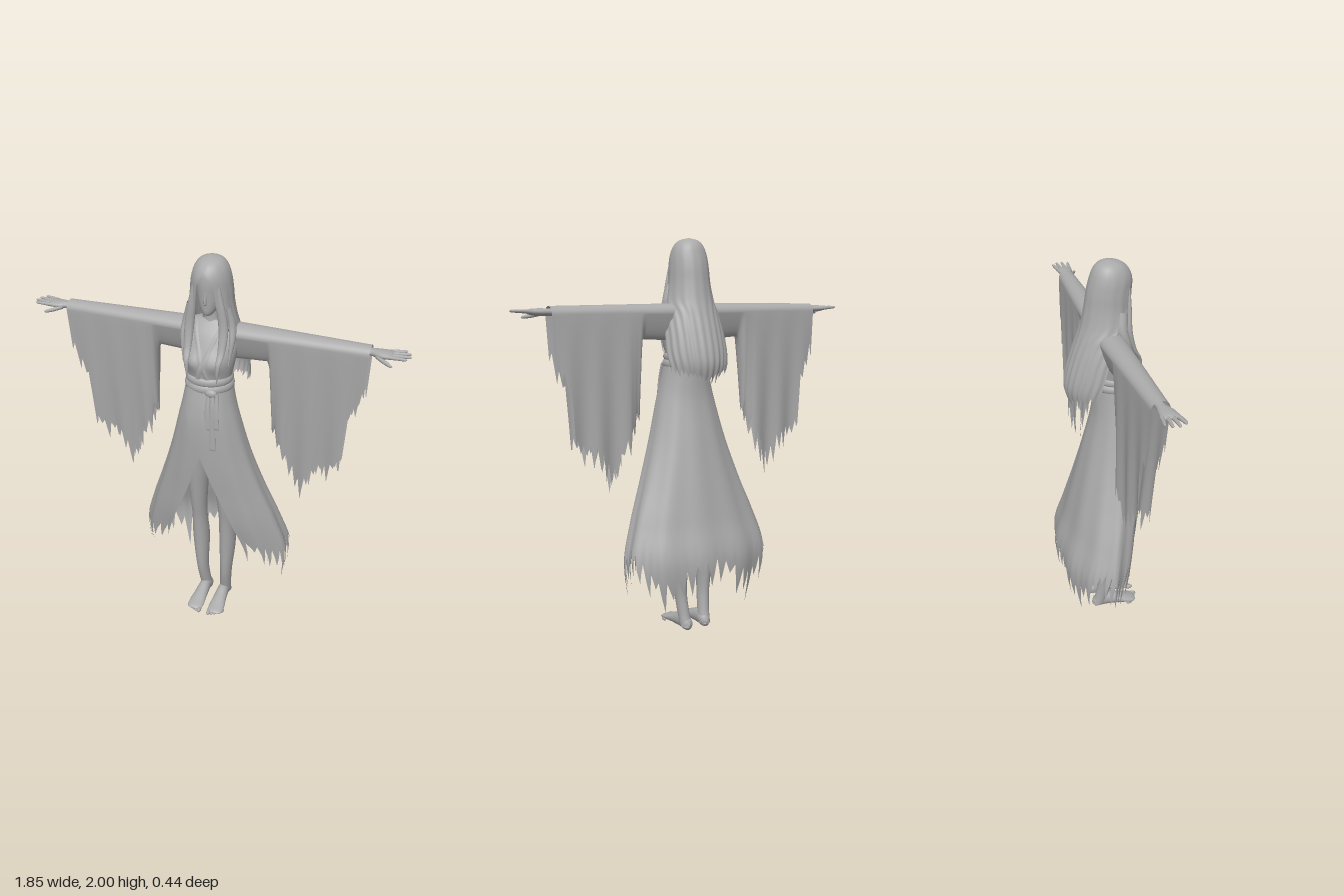
import * as THREE from 'three';
import { mergeVertices } from 'three/addons/utils/BufferGeometryUtils.js';

const { lerp, clamp } = THREE.MathUtils;
const TAU = Math.PI * 2;
const hash = (n) => { const s = Math.sin(n * 127.1 + 11.7) * 43758.545; return s - Math.floor(s); };
// ragged spikes, four columns wide, 0..1
const rag = (i, seed) => Math.abs((i % 4) / 2 - 1) * (0.25 + 0.75 * hash(Math.floor((i + 2) / 4) + seed * 31));

// smooth (or linear) lookup in a table of [key, ...values]
function at(table, key, linear = false) {
  const dir = Math.sign(table[1][0] - table[0][0]);
  let i = 0;
  while (i < table.length - 2 && (key - table[i + 1][0]) * dir > 0) i++;
  const a = table[i], b = table[i + 1], h = b[0] - a[0];
  const t = clamp((key - a[0]) / h, 0, 1);
  return a.slice(1).map((p, j) => {
    const c = j + 1, q = b[c];
    if (linear) return lerp(p, q, t);
    const slope = (k) => {
      const l = table[Math.max(k - 1, 0)], r = table[Math.min(k + 1, table.length - 1)];
      return (r[c] - l[c]) / (r[0] - l[0]);
    };
    const t2 = t * t, t3 = t2 * t;
    return (2 * t3 - 3 * t2 + 1) * p + (t3 - 2 * t2 + t) * h * slope(i) + (3 * t2 - 2 * t3) * q + (t3 - t2) * h * slope(i + 1);
  });
}

// surface from a point rule on an nu x nv grid
function grid(nu, nv, rule) {
  const pos = [], idx = [];
  for (let j = 0; j <= nv; j++) for (let i = 0; i <= nu; i++) pos.push(...rule(i / nu, j / nv, i));
  for (let j = 0; j < nv; j++) for (let i = 0; i < nu; i++) {
    const a = j * (nu + 1) + i, b = a + nu + 1;
    idx.push(a, b, a + 1, b, b + 1, a + 1);
  }
  const g = new THREE.BufferGeometry();
  g.setAttribute('position', new THREE.Float32BufferAttribute(pos, 3));
  g.setIndex(idx);
  const m = mergeVertices(g, 1e-5);
  m.computeVertexNormals();
  return m;
}

// elliptical rings along an axis; rows are [along, centre1, centre2, radius1, radius2]
function loft(axis, rows, n = 16, sub = 4) {
  const segs = rows.length - 1;
  return grid(n, segs * sub, (u, v) => {
    const s = Math.min(Math.floor(v * segs + 1e-9), segs - 1);
    const k = lerp(rows[s][0], rows[s + 1][0], v * segs - s);
    const [c1, c2, r1, r2] = at(rows, k);
    const a = (u === 1 ? 0 : u) * TAU;
    const p = c1 + Math.max(r1, 0) * Math.sin(a), q = c2 + Math.max(r2, 0) * Math.cos(a);
    return axis === 'y' ? [p, k, q] : axis === 'x' ? [k, p, q] : [p, q, k];
  });
}

export function createModel() {
  const root = new THREE.Group();
  const grey = new THREE.MeshStandardMaterial({ color: 0xaaaaaa, side: THREE.DoubleSide });
  grey.name = 'grey';
  const add = (name, geo, parent = root) => {
    const m = new THREE.Mesh(geo, grey);
    m.name = name;
    parent.add(m);
    return m;
  };

  // torso with bust
  const torso = [[1.3, 0, 0.085, 0.11, 0.1], [1.4, 0, 0.08, 0.104, 0.095], [1.5, 0, 0.08, 0.122, 0.1], [1.58, 0, 0.065, 0.135, 0.09],
    [1.64, 0, 0.05, 0.135, 0.075], [1.685, 0, 0.04, 0.1, 0.05], [1.7, 0, 0.04, 0.05, 0.04]];
  const bust = (x, y) => 0.024 * Math.exp(-(((Math.abs(x) - 0.055) / 0.04) ** 2) - ((y - 1.52) / 0.045) ** 2);
  const torsoZ = (x, y) => {
    const [, cz, rx, rz] = at(torso, y);
    return cz + rz * Math.sqrt(Math.max(0, 1 - (x / rx) ** 2)) + bust(x, y);
  };
  const body = loft('y', torso, 40, 6), bp = body.attributes.position;
  for (let i = 0; i < bp.count; i++) if (bp.getZ(i) > 0.09) bp.setZ(i, bp.getZ(i) + bust(bp.getX(i), bp.getY(i)));
  body.computeVertexNormals();
  add('torso', body);
  add('neck', loft('y', [[1.66, 0, 0.045, 0.045, 0.045], [1.72, 0, 0.045, 0.036, 0.038], [1.8, 0, 0.05, 0.036, 0.04]]));

  // crossed collar
  for (const s of [1, -1]) add('collar', grid(3, 14, (u, v) => {
    const x = s * (lerp(0.06, -0.035, v) + 0.024 * u), y = lerp(1.69, 1.44, v ** 1.1);
    return [x, y, torsoZ(x, y) + 0.005 + 0.004 * (s > 0) + 0.004 * Math.sin(Math.PI * u)];
  }));

  // head and face
  add('head', loft('y', [[1.728, 0, 0.108, 0.001, 0.001], [1.738, 0, 0.1, 0.02, 0.026], [1.77, 0, 0.078, 0.044, 0.056],
    [1.83, 0, 0.06, 0.063, 0.078], [1.9, 0, 0.055, 0.068, 0.085], [1.95, 0, 0.05, 0.055, 0.07], [1.975, 0, 0.05, 0.001, 0.001]], 28));
  add('nose', loft('y', [[1.785, 0, 0.132, 0.001, 0.001], [1.797, 0, 0.135, 0.009, 0.012], [1.86, 0, 0.133, 0.004, 0.006]], 10));

  // long hair, open at the face and falling behind the shoulders
  const hair = [[2, 0.05, 0.001, 0.001, 0.001, 0], [1.99, 0.05, 0.042, 0.047, 0.042, 0], [1.965, 0.05, 0.07, 0.084, 0.07, 0.03],
    [1.92, 0.05, 0.088, 0.107, 0.089, 0.2], [1.86, 0.05, 0.097, 0.108, 0.104, 0.48], [1.78, 0.05, 0.104, 0.103, 0.116, 0.55],
    [1.7, 0.05, 0.12, 0.085, 0.132, 0.75], [1.64, 0.045, 0.14, 0.06, 0.145, 1.4], [1.55, 0.025, 0.158, 0.05, 0.155, 1.65],
    [1.45, 0.01, 0.168, 0.04, 0.168, 1.75], [1.38, 0, 0.165, 0.04, 0.165, 1.85], [1.29, -0.01, 0.145, 0.04, 0.13, 1.95]];
  add('hair', grid(72, 60, (u, v, i) => {
    const side = Math.abs(2 * u - 1);
    const y = 2 - (v ** 1.35) * (0.61 + 0.06 * (1 - side)) - 0.05 * v ** 8 * rag(i, 3);
    const [cz, rx, rf, rb, open] = at(hair, y);
    const a = lerp(open, TAU - open, u), c = Math.cos(a);
    const k = 1 + 0.02 * v * Math.sin(u * 75);
    return [k * rx * Math.sin(a), y, cz + k * c * (c > 0 ? rf : rb)];
  }));

  // wrap skirt: two front edges that cross at the waist and part below
  const skirt = [[1.42, 0.08, 0.108, 0.1, 0.1], [1.3, 0.085, 0.13, 0.122, 0.11], [1.2, 0.085, 0.155, 0.133, 0.12], [1, 0.07, 0.208, 0.142, 0.15],
    [0.8, 0.04, 0.275, 0.155, 0.165], [0.6, 0, 0.348, 0.175, 0.17], [0.4, -0.03, 0.4, 0.165, 0.19], [0.1, -0.03, 0.36, 0.14, 0.15]];
  const leftEdge = [[1.42, -0.75], [1.29, -0.65], [1.05, -0.05], [0.66, 0.4], [0.12, 0.68]];
  const rightEdge = [[1.42, 0.1], [1.05, 0.02], [0.95, -0.17], [0.42, -0.64], [0.12, -0.75]];
  const hem = [[0, 0.5], [0.12, 0.42], [0.25, 0.48], [0.36, 0.33], [0.5, 0.43], [0.64, 0.33], [0.75, 0.48], [0.88, 0.42], [1, 0.5]];
  add('skirt', grid(144, 44, (u, v, i) => {
    const y = lerp(1.42, at(hem, u)[0], v) - 0.2 * v ** 5 * rag(i, 8);
    const [cz, rx, rf, rb] = at(skirt, y);
    const a = lerp(at(leftEdge, y)[0], TAU + at(rightEdge, y)[0], u), c = Math.cos(a);
    const k = 1 + 0.025 * v * Math.sin(a * 11) + 0.05 * Math.max(0, 0.12 - u) / 0.12 * (1 - v);
    return [k * rx * Math.sin(a), y, cz + k * c * (c > 0 ? rf : rb)];
  }));

  // sash, knot and hanging tails
  for (const [y, h, r] of [[1.35, 0.022, 0.004], [1.385, 0.024, 0.009], [1.42, 0.02, 0.005]])
    add('sash', loft('y', [[y - h, 0, 0.082, 0.107, 0.1], [y - h / 2, 0, 0.082, 0.11 + r, 0.102 + r],
      [y + h / 2, 0, 0.082, 0.108 + r, 0.102 + r], [y + h, 0, 0.082, 0.103, 0.097]], 36, 2));
  const knot = add('sashKnot', new THREE.SphereGeometry(1, 16, 12));
  knot.scale.set(0.03, 0.022, 0.018);
  knot.position.set(0.045, 1.375, 0.185);
  for (const [x0, x1, end] of [[0.035, 0.035, 1.19], [0.055, 0.062, 1.08], [0.075, 0.08, 1.2]])
    add('sashTail', loft('y', [[1.38, x0, 0.19, 0.008, 0.006], [1.3, lerp(x0, x1, 0.5), 0.207, 0.013, 0.005],
      [end + 0.01, x1, 0.214, 0.016, 0.004], [end, x1, 0.214, 0.015, 0.001]], 10));

  // parts that repeat on both sides
  const sleeveHem = [[0.08, 1.5], [0.272, 1.512], [0.285, 1.47], [0.296, 1.21], [0.33, 1.13], [0.41, 0.97], [0.455, 0.88], [0.5, 0.98],
    [0.56, 1.02], [0.6, 1.02], [0.645, 1.06], [0.665, 1.3], [0.7, 1.38], [0.745, 1.5]];
  const sleeve = grid(84, 64, (u, v, i) => {
    const x = lerp(0.08, 0.745, u), front = v < 0.5;
    const ya = 1.638, ry = lerp(0.045, 0.038, u), hz = lerp(0.064, 0.042, u), zc = lerp(0.035, 0.042, u);
    const w = front ? v : 1 - v;
    if (w > 0.375) { // over the arm
      const a = (w - 0.375) / 0.125 * Math.PI / 2;
      return [x, ya + ry * Math.sin(a), zc + (front ? 1 : -1) * hz * Math.cos(a)];
    }
    const s = w / 0.375;
    const open = clamp((x - 0.29) / 0.07, 0, 1);
    const edge = at(sleeveHem, x, true)[0] - (x > 0.3 ? 0.13 * rag(i, front ? 5 : 9) : 0);
    const y = lerp(edge, ya, s), d = (ya - y) / 0.85;
    const half = hz * (1 - 0.7 * d ** 1.3) * lerp(Math.sqrt(s), 1, open);
    const fold = 0.012 * Math.sin(x * 42 + (front ? 0 : 1.5)) * d * open;
    const drift = x > 0.64 ? -0.03 * d * (x - 0.64) / 0.1 : 0;
    return [x + drift, y, zc - 0.03 * d + (front ? 1 : -1) * half + fold];
  });
  const arm = loft('x', [[0.1, 1.635, 0.035, 0.035, 0.04], [0.4, 1.64, 0.04, 0.033, 0.036], [0.6, 1.645, 0.042, 0.028, 0.03],
    [0.74, 1.648, 0.043, 0.017, 0.022], [0.79, 1.648, 0.05, 0.018, 0.036], [0.835, 1.65, 0.05, 0.013, 0.04], [0.85, 1.65, 0.05, 0.004, 0.034]]);
  const leg = loft('y', [[0.02, 0.055, -0.015, 0.03, 0.034], [0.09, 0.06, 0.005, 0.03, 0.035], [0.2, 0.068, 0.022, 0.031, 0.042],
    [0.4, 0.075, 0.02, 0.043, 0.056], [0.55, 0.075, 0.04, 0.039, 0.048], [0.65, 0.074, 0.052, 0.042, 0.052], [0.9, 0.072, 0.07, 0.06, 0.07],
    [1.15, 0.068, 0.08, 0.066, 0.085]], 22);
  const foot = loft('z', [[-0.05, 0.053, 0.03, 0.002, 0.004], [-0.035, 0.053, 0.032, 0.025, 0.03], [0.02, 0.054, 0.045, 0.03, 0.043],
    [0.09, 0.056, 0.034, 0.036, 0.03], [0.15, 0.058, 0.022, 0.043, 0.018], [0.185, 0.058, 0.016, 0.038, 0.011], [0.195, 0.058, 0.015, 0.02, 0.004]], 20);

  const half = new THREE.Group();
  half.name = 'leftSide';
  add('sleeve', sleeve, half);
  add('arm', arm, half);
  [[0.017, 0.9, 0.005], [0.038, 0.92, 0.05 - 0.02], [0.06, 0.925, 0.06], [0.08, 0.91, 0.09]].forEach(([z, tip, tz]) =>
    add('finger', loft('x', [[0.825, 1.65, z, 0.01, 0.011], [lerp(0.825, tip, 0.5), 1.653, lerp(z, tz, 0.5), 0.008, 0.009],
      [tip - 0.008, 1.655, tz, 0.006, 0.006], [tip, 1.655, tz, 0.001, 0.001]], 8, 3), half));
  add('thumb', loft('x', [[0.77, 1.642, 0.065, 0.01, 0.014], [0.81, 1.632, 0.092, 0.01, 0.012], [0.845, 1.625, 0.112, 0.007, 0.007],
    [0.853, 1.624, 0.115, 0.001, 0.001]], 8, 3), half);
  add('leg', leg, half);
  add('foot', foot, half);
  for (let t = 0; t < 5; t++) {
    const toe = add('toe', new THREE.SphereGeometry(1, 10, 8), half);
    const r = t ? 0.009 : 0.012;
    toe.scale.set(r, r, r * 2);
    toe.position.set(0.028 + t * 0.0165, r, 0.19 - t * t * 0.0022);
  }
  // hair locks falling over the chest
  add('frontLock', loft('y', [[1.88, 0.055, 0.128, 0.012, 0.008], [1.78, 0.07, 0.127, 0.02, 0.012], [1.68, 0.083, 0.125, 0.023, 0.016],
    [1.58, 0.083, 0.152, 0.018, 0.012], [1.52, 0.078, 0.185, 0.012, 0.008], [1.43, 0.072, 0.185, 0.001, 0.001]], 10), half);
  add('sideLock', loft('y', [[1.78, 0.095, 0.09, 0.01, 0.02], [1.69, 0.112, 0.085, 0.018, 0.024], [1.62, 0.12, 0.11, 0.014, 0.016],
    [1.5, 0.112, 0.14, 0.001, 0.001]], 10), half);
  root.add(half);

  const mirrored = half.clone();
  mirrored.name = 'rightSide';
  mirrored.scale.x = -1;
  root.add(mirrored);
  return root;
}
